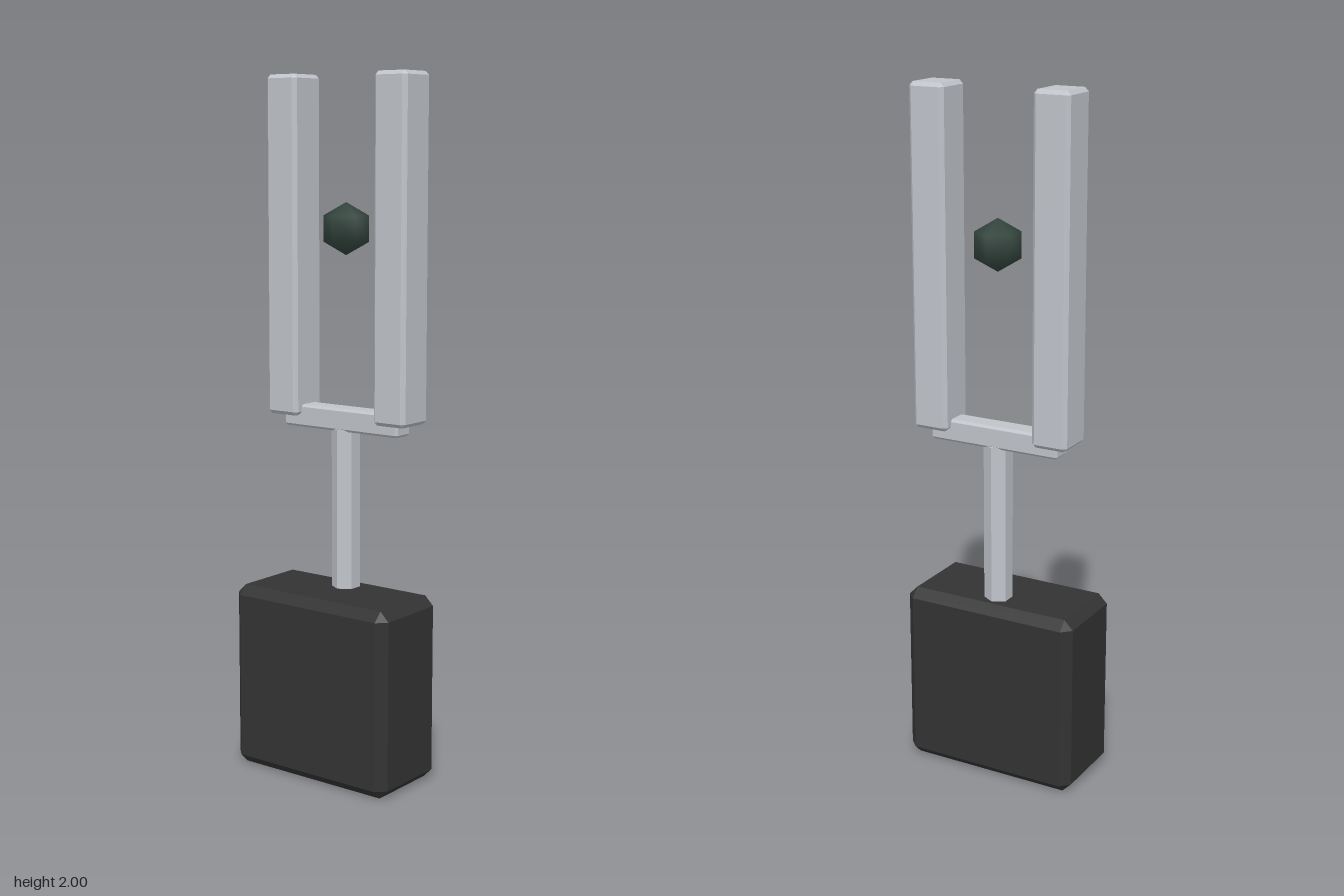
import * as THREE from 'three';
import { ConvexGeometry } from 'three/addons/geometries/ConvexGeometry.js';

const FORK_Z = -0.054;

// Box with a flat chamfer of size c along all twelve edges
function chamferBox(w, h, d, c) {
  const points = [];
  for (const sx of [-1, 1]) for (const sy of [-1, 1]) for (const sz of [-1, 1]) {
    const [x, y, z] = [w / 2, h / 2, d / 2];
    points.push(
      new THREE.Vector3(sx * x, sy * (y - c), sz * (z - c)),
      new THREE.Vector3(sx * (x - c), sy * y, sz * (z - c)),
      new THREE.Vector3(sx * (x - c), sy * (y - c), sz * z)
    );
  }
  return new ConvexGeometry(points);
}

export function createModel() {
  const group = new THREE.Group();
  const metal = new THREE.MeshStandardMaterial({ color: 0xc0c4ca, flatShading: true });
  const dark = new THREE.MeshStandardMaterial({ color: 0x333333, flatShading: true });
  const green = new THREE.MeshStandardMaterial({ color: 0x33443d });

  const add = (name, geometry, material, x, y, z) => {
    const mesh = new THREE.Mesh(geometry, material);
    mesh.name = name;
    mesh.position.set(x, y, z);
    group.add(mesh);
  };

  // Heavy block at the bottom
  add('base', chamferBox(0.54, 0.54, 0.27, 0.027), dark, 0, 0.27, 0);

  // Six-sided stem, corners pointing front and back
  add('stem', new THREE.CylinderGeometry(0.041, 0.041, 0.48, 6), metal, 0, 0.765, FORK_Z);

  // Fork: crossbar and two prongs
  add('crossbar', chamferBox(0.404, 0.066, 0.066, 0.007), metal, 0, 1.032, FORK_Z);
  for (const [name, side] of [['leftProng', 1], ['rightProng', -1]]) {
    add(name, chamferBox(0.108, 0.967, 0.121, 0.011), metal, side * 0.189, 1.5165, FORK_Z);
  }

  // Faceted ball floating between the prongs
  const ball = new THREE.SphereGeometry(0.074, 6, 3);
  ball.rotateY(Math.PI / 2);
  add('ball', ball, green, 0, 1.572, FORK_Z);

  return group;
}
